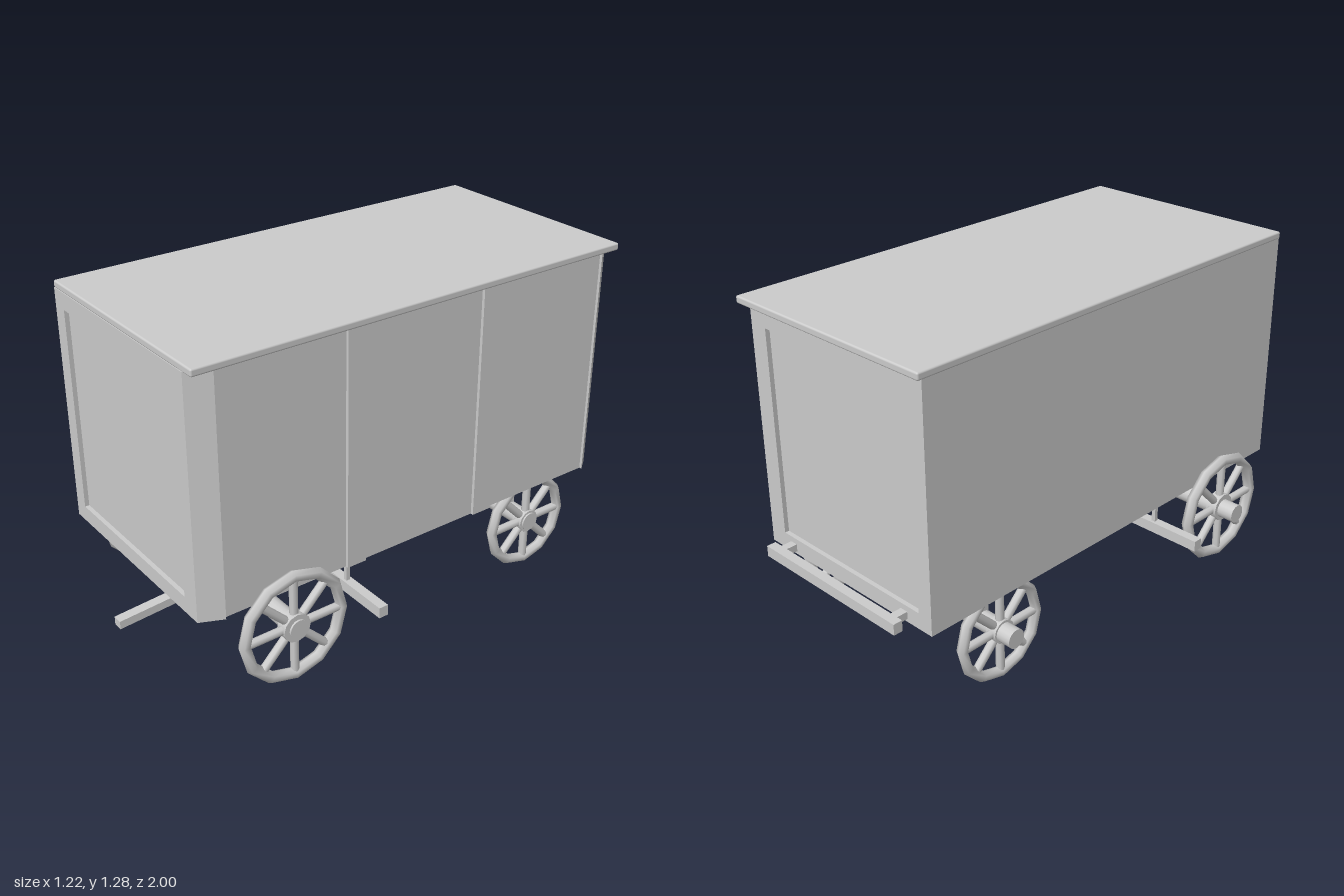
import * as THREE from 'three';
import { RoundedBoxGeometry } from 'three/addons/geometries/RoundedBoxGeometry.js';

const material = new THREE.MeshStandardMaterial({ color: 0xcccccc });

export function createModel() {
  const model = new THREE.Group();

  const add = (name, geometry, x = 0, y = 0, z = 0, parent = model) => {
    const mesh = new THREE.Mesh(geometry, material);
    mesh.name = name;
    mesh.position.set(x, y, z);
    parent.add(mesh);
    return mesh;
  };

  // Box given by its limits on each axis
  const box = (name, [x0, x1], [y0, y1], [z0, z1]) =>
    add(name, new THREE.BoxGeometry(x1 - x0, y1 - y0, z1 - z0), (x0 + x1) / 2, (y0 + y1) / 2, (z0 + z1) / 2);

  const polygon = (points, Type = THREE.Shape) => new Type(points.map(([x, y]) => new THREE.Vector2(x, y)));
  const rectangle = (x0, x1, y0, y1, Type) => polygon([[x0, y0], [x1, y0], [x1, y1], [x0, y1]], Type);
  const extrude = (shape, depth) => new THREE.ExtrudeGeometry(shape, { depth, bevelEnabled: false });

  // Floor plan (plan y is -z): cut corners and a set-back wall on the left side,
  // with end panels sunk by the given depth
  const plan = (sunk) => polygon([
    [-0.445, -0.907],
    ...(sunk ? [[-0.383, -0.907], [-0.383, -0.907 + sunk], [0.337, -0.907 + sunk], [0.337, -0.907]] : []),
    [0.413, -0.907], [0.4525, -0.82], [0.4415, -0.82], [0.4415, 0.86], [0.4525, 0.86], [0.413, 0.914],
    ...(sunk ? [[0.337, 0.914], [0.337, 0.914 - sunk], [-0.383, 0.914 - sunk], [-0.383, 0.914]] : []),
    [-0.445, 0.914],
  ]);

  // Body in layers; the lowest two are open below the floor
  for (const [name, sunk, y0, y1, open] of [
    ['skirt', 0, 0.346, 0.408, true],
    ['lowerWalls', 0.017, 0.408, 0.43, true],
    ['walls', 0.017, 0.43, 1.195, false],
    ['topRail', 0, 1.195, 1.26, false],
  ]) {
    const shape = plan(sunk);
    if (open) shape.holes.push(rectangle(-0.415, 0.395, -0.86, 0.86, THREE.Path));
    add(name, extrude(shape, y1 - y0).rotateX(-Math.PI / 2), 0, y0, 0);
  }

  // Upright posts on the left side
  for (const [z0, z1] of [[0.235, 0.315], [-0.36, -0.275]]) {
    box('sidePost', [0.42, 0.4535], [0.346, 1.26], [z0, z1]);
  }

  add('roof', new RoundedBoxGeometry(0.914, 0.028, 1.84, 2, 0.007), 0.005, 1.271, -0.015);

  // Locker under the floor with a bevelled bottom
  const locker = new THREE.ExtrudeGeometry(rectangle(-0.126, 0.126, -0.153, 0.158), {
    depth: 0.15, bevelThickness: 0.02, bevelSize: 0.022, bevelSegments: 1,
  });
  add('underfloorLocker', locker.rotateX(-Math.PI / 2), 0, 0.288, 0);

  // Wheels: twelve-sided rim, eight spokes and a hub
  const wheel = (name, radius, tube, hubRadius, x, y, z) => {
    const group = new THREE.Group();
    group.name = name;
    group.position.set(x, y, z);
    model.add(group);
    const length = radius - tube;
    add('rim', new THREE.TorusGeometry(length, tube, 6, 12).rotateY(Math.PI / 2), 0, 0, 0, group);
    for (let i = 0; i < 8; i++) {
      const spoke = new THREE.CylinderGeometry(0.016, 0.016, length, 8).translate(0, length / 2, 0);
      add('spoke', spoke.rotateX(i * Math.PI / 4), 0, 0, 0, group);
    }
    add('hub', new THREE.CylinderGeometry(hubRadius, hubRadius, 0.045, 12).rotateZ(Math.PI / 2), 0, 0, 0, group);
  };
  for (const side of [-1, 1]) {
    wheel('frontWheel', 0.225, 0.0225, 0.055, side * 0.49, 0.235, 0.575);
    wheel('rearWheel', 0.198, 0.0205, 0.046, side * 0.423, 0.198, -0.587);
  }

  // Axles, reaching further on the right
  const axle = (name, x0, x1, y, z) =>
    add(name, new THREE.CylinderGeometry(0.037, 0.037, x1 - x0, 16).rotateZ(Math.PI / 2), (x0 + x1) / 2, y, z);
  axle('frontAxle', -0.58, 0.52, 0.233, 0.572);
  axle('rearAxle', -0.505, 0.452, 0.198, -0.588);
  box('rearBolster', [-0.344, 0.341], [0.2, 0.432], [-0.605, -0.565]);

  // Crossbar with its hangers
  box('crossbar', [-0.612, 0.612], [0.213, 0.255], [0.26, 0.297]);
  for (const side of [-1, 1]) {
    box('crossbarHanger', [side * 0.4 - 0.008, side * 0.4 + 0.008], [0.25, 0.432], [0.271, 0.287]);
  }

  // Sloping draw pole
  const pole = polygon([[-1, 0.128], [0.58, 0.237], [0.58, 0.269], [-1, 0.16]]);
  add('drawPole', extrude(pole, 0.04).rotateY(Math.PI / 2), -0.02, 0, 0);

  // Rear bumper on two brackets
  box('bumper', [-0.359, 0.328], [0.352, 0.394], [-1, -0.964]);
  for (const x of [-0.31, 0.287]) {
    box('bumperBracket', [x - 0.016, x + 0.016], [0.358, 0.386], [-0.97, -0.89]);
  }

  return model;
}
